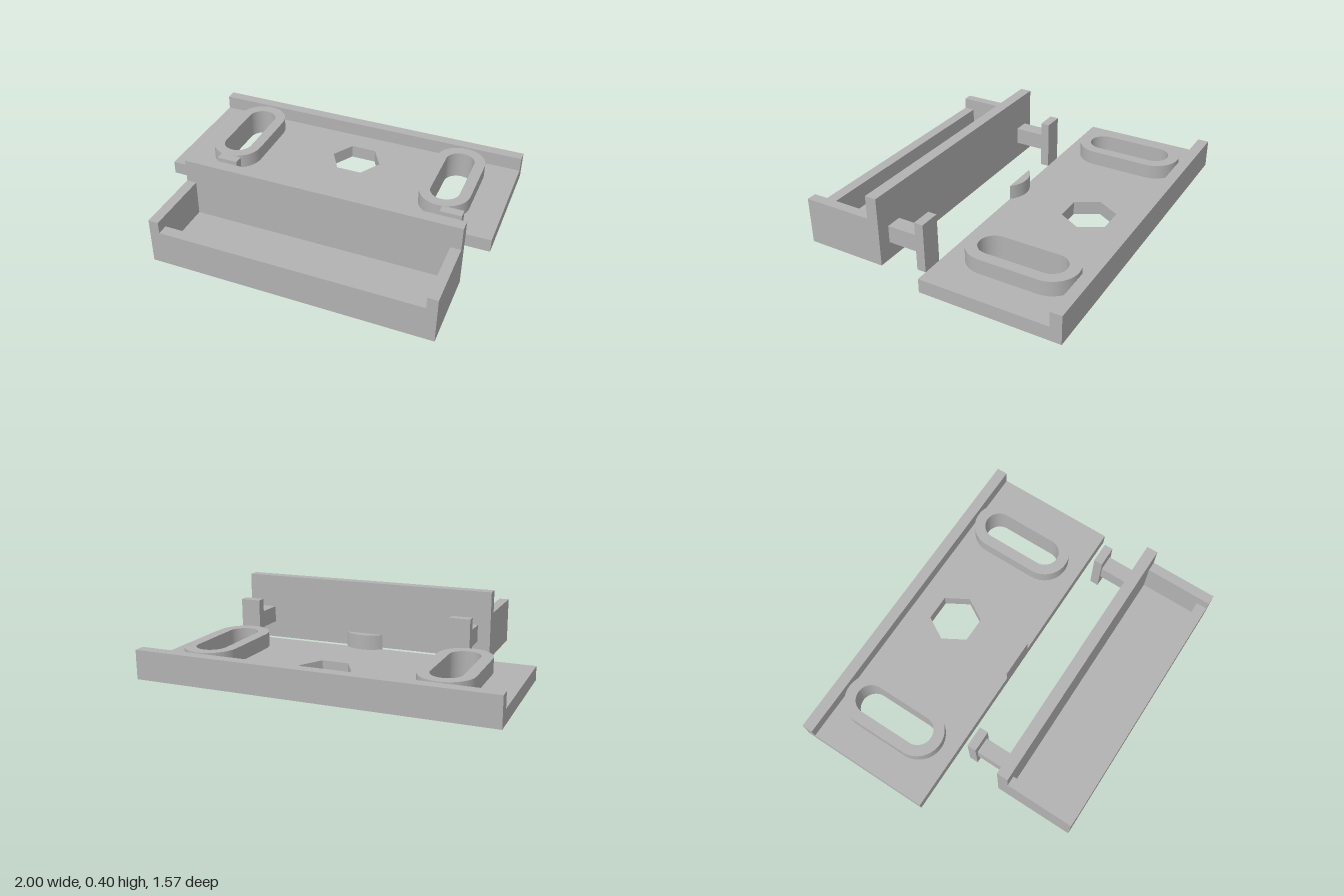
import * as THREE from 'three';
import { toCreasedNormals } from 'three/addons/utils/BufferGeometryUtils.js';

const grey = new THREE.MeshStandardMaterial({ color: 0xb2b2b2 });
grey.name = 'grey';

export function createModel() {
  const model = new THREE.Group();
  model.name = 'bracketSet';
  const plate = new THREE.Group();
  plate.name = 'basePlate';
  const tray = new THREE.Group();
  tray.name = 'tray';
  model.add(plate, tray);

  const add = (parent, name, geometry) => {
    const mesh = new THREE.Mesh(geometry, grey);
    mesh.name = name;
    parent.add(mesh);
  };

  // Box given by its limits on each axis
  const box = (parent, name, x0, x1, y0, y1, z0, z1) => {
    const g = new THREE.BoxGeometry(x1 - x0, y1 - y0, z1 - z0);
    g.translate((x0 + x1) / 2, (y0 + y1) / 2, (z0 + z1) / 2);
    add(parent, name, g);
  };

  // Plan outline (shape y is -z) raised from y0 to y1
  const raise = (parent, name, shape, y0, y1) => {
    let g = new THREE.ExtrudeGeometry(shape, { depth: y1 - y0, bevelEnabled: false, curveSegments: 20 });
    g.rotateX(-Math.PI / 2);
    g.translate(0, y0, 0);
    add(parent, name, toCreasedNormals(g, 0.5));
  };

  // Rounded slot outline
  const slot = (Type, x, r) => {
    const p = new Type();
    const mid = 0.387, half = 0.165;
    p.absarc(x, mid + half, r, 0, Math.PI, false);
    p.absarc(x, mid - half, r, Math.PI, Math.PI * 2, false);
    p.closePath();
    return p;
  };

  // Plate with two slots and a hexagonal hole
  const front = 0.014, back = -0.783;
  const base = new THREE.Shape([
    new THREE.Vector2(-1, -front), new THREE.Vector2(1, -front),
    new THREE.Vector2(1, -back), new THREE.Vector2(-1, -back),
  ]);
  const hex = [];
  for (let i = 0; i < 6; i++) {
    const a = i * Math.PI / 3;
    hex.push(new THREE.Vector2(0.033 + 0.152 * Math.cos(a), 0.453 + 0.152 * Math.sin(a)));
  }
  base.holes.push(new THREE.Path(hex));
  for (const x of [-0.667, 0.664]) base.holes.push(slot(THREE.Path, x, 0.086));
  raise(plate, 'plate', base, 0, 0.08);
  box(plate, 'rearLip', -1, 1, 0.08, 0.165, back, -0.718);

  // Raised rims round the slots
  for (const x of [-0.667, 0.664]) {
    const rim = slot(THREE.Shape, x, 0.15);
    rim.holes.push(slot(THREE.Path, x, 0.086));
    raise(plate, 'slotRim', rim, 0.08, 0.165);
  }

  // Round stop cut off by the front edge of the plate
  const stop = new THREE.Shape();
  const r = 0.152, cz = 0.119;
  const a = Math.acos((cz - front) / r);
  stop.absarc(-0.004, -cz, r, Math.PI / 2 - a, Math.PI / 2 + a, false);
  stop.closePath();
  raise(plate, 'roundStop', stop, 0.08, 0.165);

  // Open tray with a tall back wall and a low front wall
  const L = -0.67, R = 0.91, zb = 0.317, zf = 0.783, t = 0.057;
  box(tray, 'trayFloor', L + t, R - t, 0, 0.06, 0.383, 0.72);
  box(tray, 'backWall', L, R, 0, 0.4, zb, 0.383);
  box(tray, 'frontWall', L + t, R - t, 0, 0.2, 0.72, zf);
  box(tray, 'endWall', L, L + t, 0, 0.267, 0.383, zf);
  box(tray, 'endWall', R - t, R, 0, 0.267, 0.383, zf);

  // T-shaped hooks behind the tray
  for (const x of [-0.549, 0.785]) {
    box(tray, 'hookStem', x - 0.046, x + 0.046, 0.1, 0.2, 0.135, zb);
    box(tray, 'hookHead', x - 0.061, x + 0.061, 0, 0.285, 0.083, 0.135);
  }
  return model;
}
